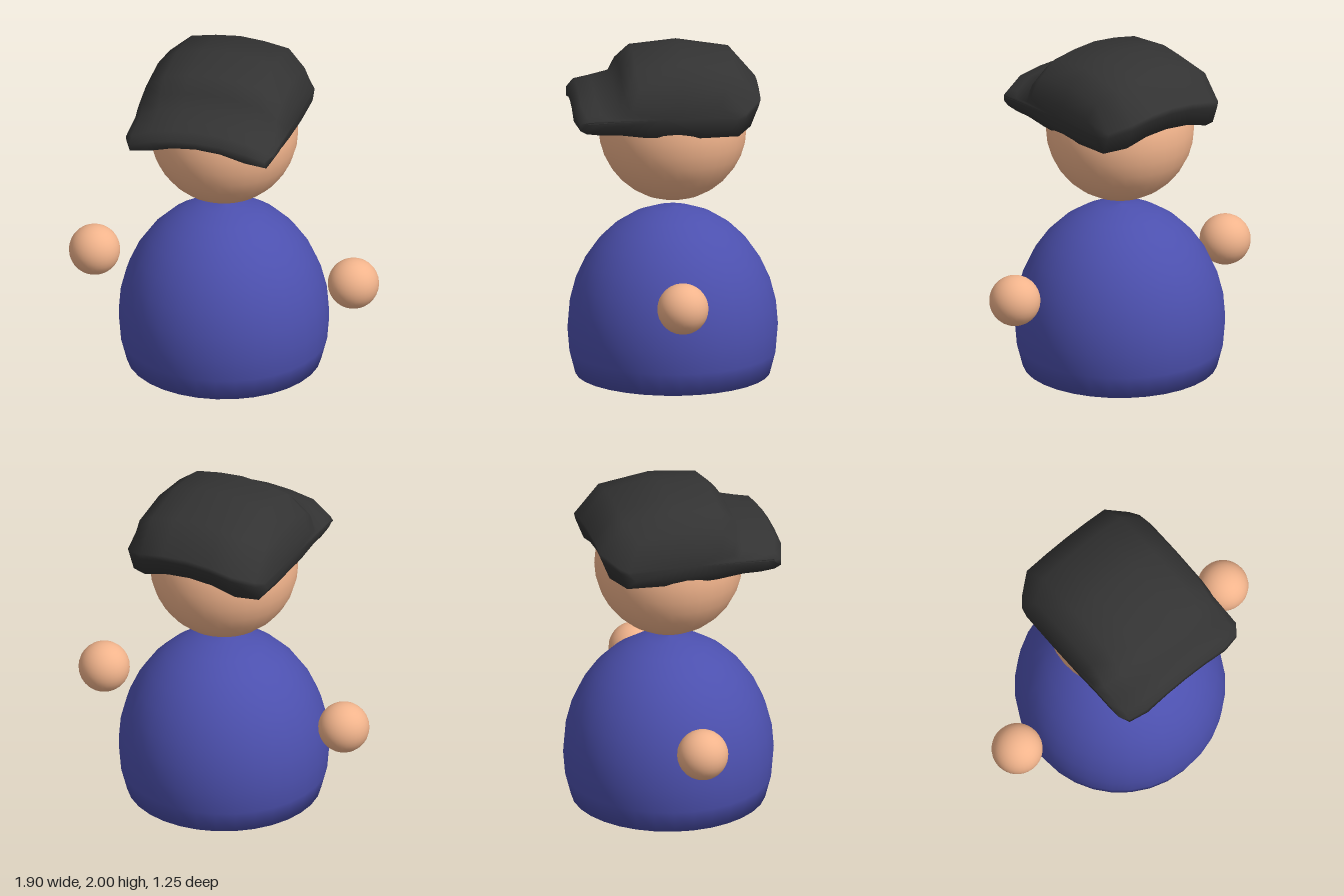
import * as THREE from 'three';

const skin = new THREE.MeshStandardMaterial({ color: 0xf2b48c });
const cloth = new THREE.MeshStandardMaterial({ color: 0x4c50ae });
const felt = new THREE.MeshStandardMaterial({ color: 0x333333 });

function addPart(group, name, geometry, material, x = 0, y = 0, z = 0) {
  const mesh = new THREE.Mesh(geometry, material);
  mesh.name = name;
  mesh.position.set(x, y, z);
  group.add(mesh);
}

// Egg-shaped torso, cut flat where it meets the ground
function bodyGeometry() {
  const points = [new THREE.Vector2(0, 0)];
  for (let i = -2; i <= 8; i++) {
    const a = (i * Math.PI) / 16;
    points.push(new THREE.Vector2(
      i === 8 ? 0 : 0.625 * Math.cos(a),
      Math.max(0, 0.28 + 0.732 * Math.sin(a))));
  }
  return new THREE.LatheGeometry(points, 32);
}

// Flat cap: side profiles lofted across x, arched down towards both sides
function capGeometry() {
  // [z, y] from the brim tip over the crown to the back
  const top = [[0.61, 1.71], [0.57, 1.76], [0.48, 1.78], [0.365, 1.81], [0.325, 1.89],
    [0.24, 1.97], [-0.04, 2], [-0.35, 1.95], [-0.5, 1.77], [-0.49, 1.73]];
  // [z, y] along the underside, back to front
  const under = [[-0.44, 1.62], [-0.1, 1.61], [0.2, 1.62], [0.37, 1.64], [0.48, 1.64],
    [0.57, 1.65], [0.61, 1.67]];
  // x, crown height scale, crown drop, underside drop, back scale, front scale
  const half = [
    [0, 1, 0, 0, 1, 1],
    [0.15, 0.98, 0.008, 0.012, 1, 1],
    [0.3, 0.97, 0.033, 0.05, 1, 1],
    [0.415, 0.83, 0.08, 0.08, 0.82, 0.95],
    [0.455, 0.36, 0.065, 0.02, 0.72, 0.86]];
  const mirrored = half.slice(1).reverse().map(([x, ...rest]) => [-x, ...rest]);
  const stations = [...mirrored, ...half];
  const n = top.length + under.length;
  const positions = [], index = [];
  for (const [x, scale, drop, underDrop, back, front] of stations) {
    const stretch = (z) => z * (z < 0 ? back : front);
    for (const [z, y] of top) positions.push(x, 1.7 + (y - 1.7) * scale - drop, stretch(z));
    for (const [z, y] of under) positions.push(x, y - underDrop, stretch(z));
  }
  const last = (stations.length - 1) * n;
  const ends = stations.length * n;
  positions.push(-0.46, 1.66, 0.06, 0.46, 1.66, 0.06);
  for (let j = 0; j < n; j++) {
    const k = (j + 1) % n;
    for (let i = 0; i < last; i += n) {
      index.push(i + j, i + n + j, i + k, i + k, i + n + j, i + n + k);
    }
    index.push(ends, j, k, ends + 1, last + k, last + j);
  }
  const geometry = new THREE.BufferGeometry();
  geometry.setAttribute('position', new THREE.Float32BufferAttribute(positions, 3));
  geometry.setIndex(index);
  geometry.computeVertexNormals();
  return geometry;
}

export function createModel() {
  const model = new THREE.Group();
  model.name = 'cappedFigure';
  addPart(model, 'body', bodyGeometry(), cloth);
  addPart(model, 'head', new THREE.SphereGeometry(0.44, 32, 16), skin, 0, 1.5, 0);
  addPart(model, 'cap', capGeometry(), felt);
  // Floating hands
  const hand = new THREE.SphereGeometry(0.152, 32, 16);
  for (const [name, side] of [['leftHand', 1], ['rightHand', -1]]) {
    addPart(model, name, hand, skin, side * 0.797, 0.59, 0);
  }
  return model;
}
